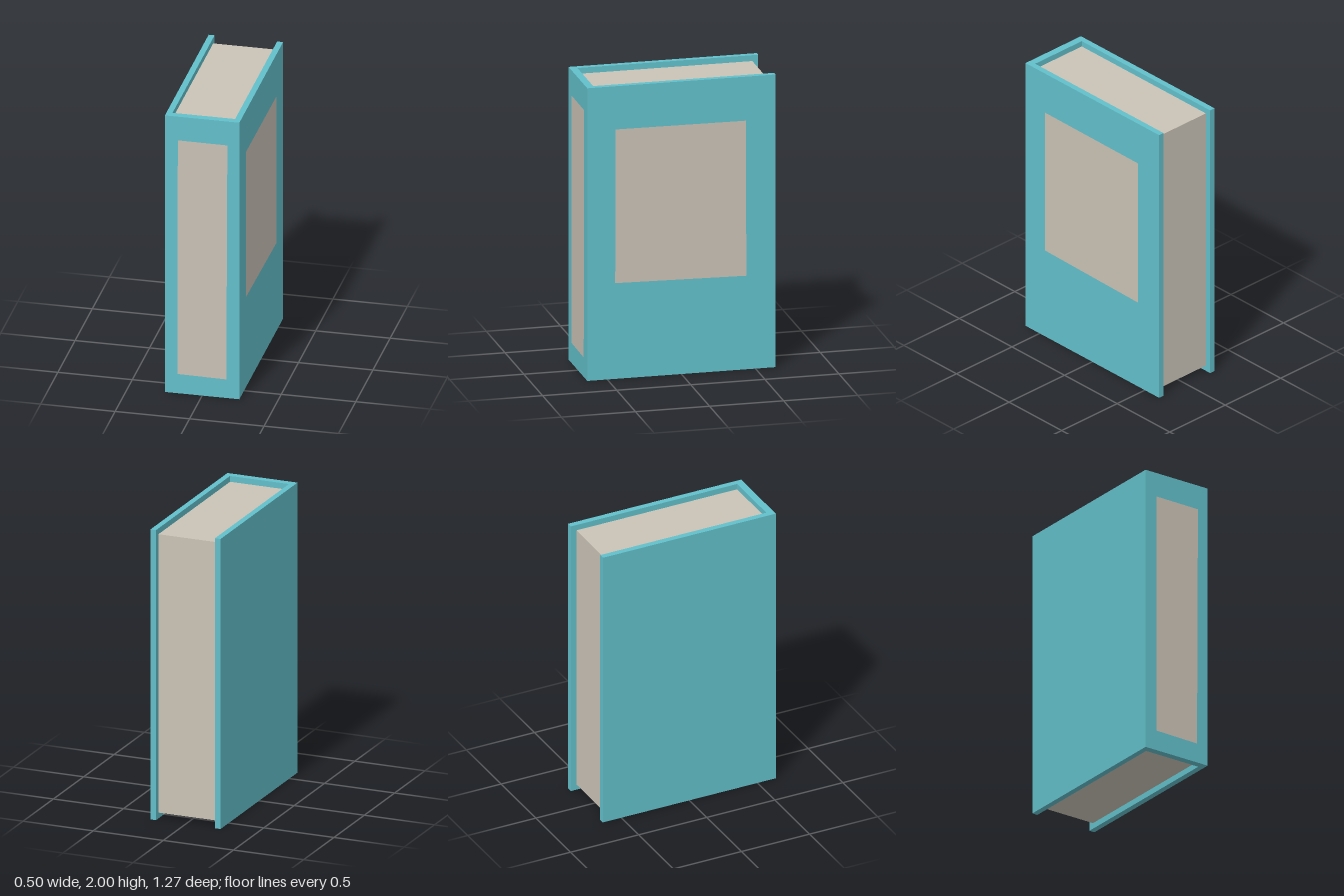
import * as THREE from 'three';

const W = 0.25, D = 0.635, H = 2;      // half width, half depth, height
const BOARD = 0.04, SPINE = 0.05;      // cover thicknesses
const INSET = 0.04;                    // page block set back from cover edges

const material = (color) => new THREE.MeshStandardMaterial({ color });

function polygon(points) {
  return new THREE.Shape(points.map(([x, y]) => new THREE.Vector2(x, y)));
}

function addMesh(group, name, geometry, mat) {
  const mesh = new THREE.Mesh(geometry, mat);
  mesh.name = name;
  group.add(mesh);
  return mesh;
}

export function createModel() {
  const book = new THREE.Group();
  book.name = 'book';
  const coverMat = material(0x62bfca);
  const pageMat = material(0xcac3b6);
  const labelMat = material(0xc9c1b5);
  labelMat.side = THREE.DoubleSide;

  // Cover: U-shaped plan (two boards and a spine) raised to full height
  const inner = W - BOARD, spineIn = -D + SPINE;
  const plan = polygon([
    [-W, -D], [W, -D], [W, D], [inner, D],
    [inner, spineIn], [-inner, spineIn], [-inner, D], [-W, D],
  ]);
  const cover = new THREE.ExtrudeGeometry(plan, { depth: H, bevelEnabled: false });
  cover.rotateX(-Math.PI / 2);
  addMesh(book, 'cover', cover, coverMat);

  // Page block between the boards, against the spine
  const front = D - SPINE, back = -D + INSET;
  const pages = addMesh(book, 'pages',
    new THREE.BoxGeometry(inner * 2, H - INSET * 2, front - back), pageMat);
  pages.position.set(0, H / 2, (front + back) / 2);

  // Slightly uneven paper label on the spine
  const spineLabel = addMesh(book, 'spineLabel', new THREE.ShapeGeometry(polygon(
    [[-0.165, 0.14], [0.163, 0.135], [0.17, 1.828], [-0.163, 1.83]])), labelMat);
  spineLabel.position.z = D + 0.002;

  // Slightly uneven paper label on the left board
  const coverLabel = addMesh(book, 'coverLabel', new THREE.ShapeGeometry(polygon(
    [[-0.447, 0.655], [0.438, 0.64], [0.435, 1.70], [-0.445, 1.705]])), labelMat);
  coverLabel.rotation.y = Math.PI / 2;
  coverLabel.position.x = W + 0.002;

  return book;
}
